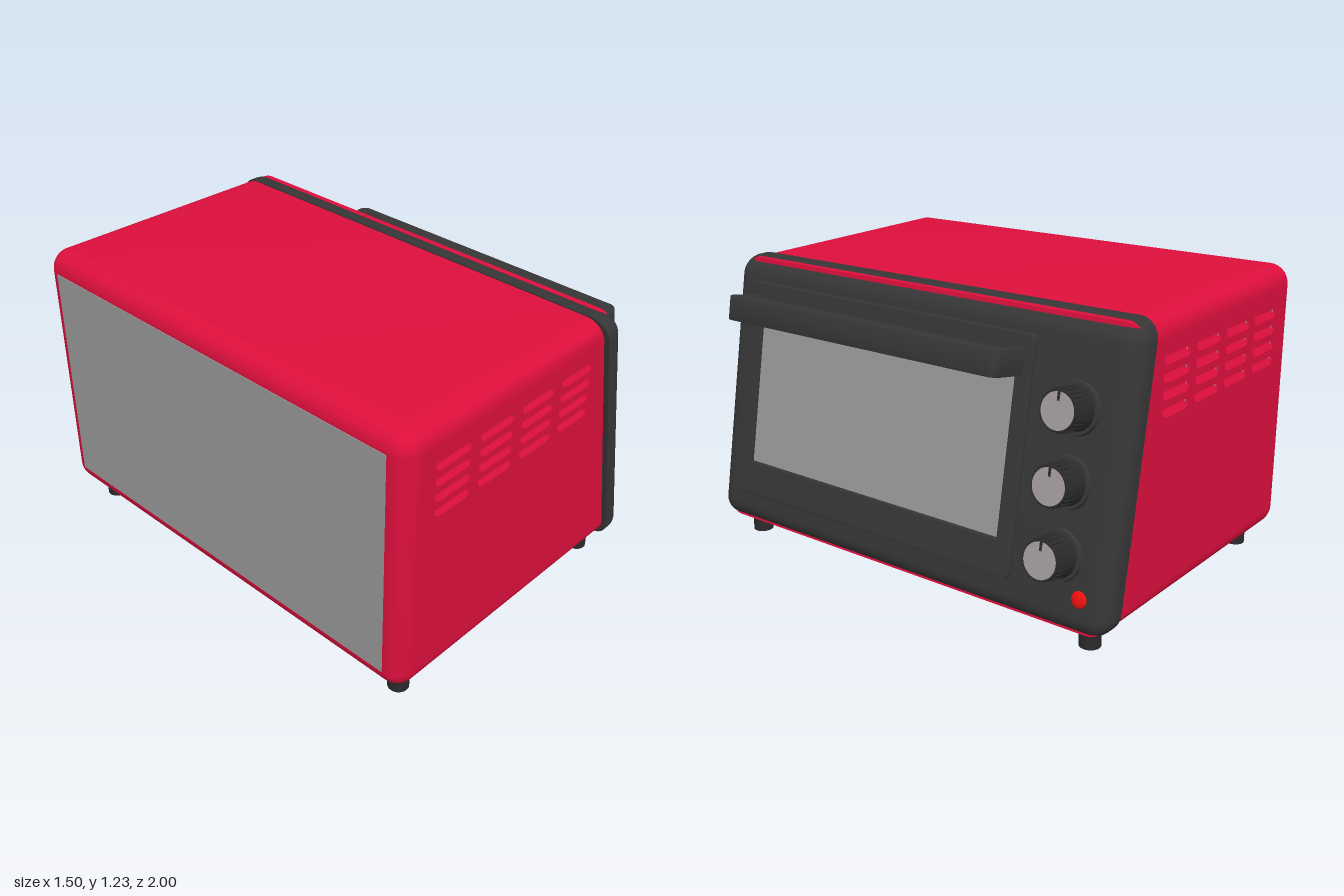
import * as THREE from 'three';
import { toCreasedNormals } from 'three/addons/utils/BufferGeometryUtils.js';
import { RoundedBoxGeometry } from 'three/addons/geometries/RoundedBoxGeometry.js';

const mat = (color, side = THREE.FrontSide) => new THREE.MeshStandardMaterial({ color, side });
const red = mat(0xdc0f3c, THREE.DoubleSide);
const black = mat(0x363636);
const rubber = mat(0x2a2a2a);
const grey = mat(0x999999);
const silver = mat(0xa59c9c);
const lamp = mat(0xf01010);

const BASE = 0.09;               // underside of the case
const SLOPE = 0.1786;            // backward lean of the front
const TILT = Math.atan(SLOPE);
const seamX = (y) => 0.55 - SLOPE * (y - BASE);
const Z0 = -0.995, Z1 = 0.978;   // case sides
const R = 0.08;                  // edge rounding

function add(parent, name, geometry, material, x = 0, y = 0, z = 0) {
  const mesh = new THREE.Mesh(geometry, material);
  mesh.name = name;
  mesh.position.set(x, y, z);
  parent.add(mesh);
  return mesh;
}

function group(parent, name) {
  const g = new THREE.Group();
  g.name = name;
  parent.add(g);
  return g;
}

// Rounded rectangle outline, usable as Shape or Path
function roundRect(path, x0, y0, x1, y1, r) {
  path.moveTo(x0 + r, y0);
  path.absarc(x1 - r, y0 + r, r, -Math.PI / 2, 0);
  path.absarc(x1 - r, y1 - r, r, 0, Math.PI / 2);
  path.absarc(x0 + r, y1 - r, r, Math.PI / 2, Math.PI);
  path.absarc(x0 + r, y0 + r, r, Math.PI, Math.PI * 1.5);
  path.closePath();
  return path;
}

// Side outline of the case, inset by the edge rounding; its front hides in the fascia
function caseOutline() {
  const s = new THREE.Shape();
  const r = 0.005, bx = -0.75 + R + r, by = BASE + R + r, ty = 1.23 - R - r;
  s.moveTo(seamX(by) + 0.01, BASE + R);
  s.lineTo(seamX(1.13) + 0.01, 1.13);
  s.absarc(bx, ty, r, Math.PI / 2, Math.PI);
  s.absarc(bx, by, r, Math.PI, Math.PI * 1.5);
  s.closePath();
  return s;
}

function buildCase(root) {
  const body = group(root, 'case');

  // Wrap-around shell: rounded extrusion without its end caps
  const full = new THREE.ExtrudeGeometry(caseOutline(), {
    depth: Z1 - Z0 - 2 * R, bevelThickness: R, bevelSize: R, bevelSegments: 8, curveSegments: 8,
  });
  const start = full.groups[1].start * 3;
  const shell = new THREE.BufferGeometry();
  shell.setAttribute('position', new THREE.BufferAttribute(full.attributes.position.array.slice(start), 3));
  add(body, 'shell', toCreasedNormals(shell, 0.6), red, 0, 0, Z0 + R);

  // Side walls with a 4 x 4 field of vent slots
  const slots = [];
  for (let c = 0; c < 4; c++) {
    for (let r = 0; r < 4; r++) slots.push([-0.592 + c * 0.234, 1.068 - r * 0.0655]);
  }
  const w = 0.19, h = 0.036, k = 0.03;
  const side = caseOutline();
  for (const [x, y] of slots) {
    const p = new THREE.Path();
    p.moveTo(x, y);
    p.lineTo(x + w, y);
    p.quadraticCurveTo(x + w, y - h, x + w - k, y - h);
    p.lineTo(x + k, y - h);
    p.quadraticCurveTo(x, y - h, x, y);
    side.holes.push(p);
  }
  const wall = new THREE.ExtrudeGeometry(side, { depth: 0.012, bevelEnabled: false, curveSegments: 8 });
  add(body, 'sideWall', wall, red, 0, 0, Z1 - 0.012);
  add(body, 'sideWall', wall, red, 0, 0, Z0);

  // Slanted louvres behind the slots
  const slat = new THREE.BoxGeometry(w, 0.046, 0.004);
  for (const s of [1, -1]) {
    for (const [x, y] of slots) {
      const m = add(body, 'louvre', slat, red, x + w / 2, y - h / 2, (s > 0 ? Z1 : Z0) - s * 0.018);
      m.rotation.x = -s * 0.6;
    }
  }

  // Flat back panel
  add(body, 'backPanel', new THREE.BoxGeometry(0.01, 0.97, 1.81), grey, -0.748, 0.66, (Z0 + Z1) / 2);
}

// Leaning front surround: a rounded box with a flattened back, sheared backward
function buildFascia(root) {
  const g = new RoundedBoxGeometry(0.23, 1.125, 2, 6, R);
  const p = g.attributes.position;
  for (let i = 0; i < p.count; i++) {
    const y = p.getY(i) + BASE + 0.5625;
    p.setXYZ(i, Math.max(p.getX(i), 0) + seamX(y), y, p.getZ(i));
  }
  add(root, 'fascia', toCreasedNormals(g, 0.6), black);
}

function buildDoor(front) {
  const door = group(front, 'door');
  const frame = roundRect(new THREE.Shape(), -0.88, 0.142, 0.58, 1.041, 0.02);
  frame.holes.push(roundRect(new THREE.Path(), -0.805, 0.275, 0.52, 0.93, 0.006));
  add(door, 'doorFrame', new THREE.ExtrudeGeometry(frame, {
    depth: 0.014, bevelThickness: 0.006, bevelSize: 0.005, bevelSegments: 2,
  }), black);
  add(door, 'window', new THREE.BoxGeometry(1.33, 0.66, 0.01), grey, -0.1425, 0.6025, 0.002);

  // U-shaped pull handle, drawn from above and extruded upward
  const x0 = -0.835, x1 = 0.545, d = 0.185, t = 0.035, r = 0.035;
  const u = new THREE.Shape();
  u.moveTo(x0, 0);
  u.lineTo(x0 + t, 0);
  u.lineTo(x0 + t, 0.095);
  u.lineTo(x1 - t, 0.095);
  u.lineTo(x1 - t, 0);
  u.lineTo(x1, 0);
  u.absarc(x1 - r, d - r, r, 0, Math.PI / 2);
  u.absarc(x0 + r, d - r, r, Math.PI / 2, Math.PI);
  u.closePath();
  const bar = new THREE.ExtrudeGeometry(u, {
    depth: 0.09, bevelThickness: 0.005, bevelSize: 0.004, bevelSegments: 2,
  });
  bar.rotateX(Math.PI / 2); // outline depth stays outward, thickness runs downward
  bar.rotateZ(0);
  bar.applyMatrix4(new THREE.Matrix4().makeTranslation(0, 0.986, 0));
  add(door, 'handle', toCreasedNormals(bar, 0.6), black);
}

function buildKnob(front, y) {
  const knob = group(front, 'knob');
  knob.position.set(0.782, y, 0);
  const disc = (r1, r0, len) => new THREE.CylinderGeometry(r1, r0, len, 40).rotateX(Math.PI / 2);
  add(knob, 'knobBase', disc(0.095, 0.099, 0.016), black, 0, 0, 0.008);
  add(knob, 'knobGrip', disc(0.074, 0.084, 0.12), rubber, 0, 0, 0.064);
  add(knob, 'knobFace', disc(0.068, 0.068, 0.006), silver, 0, 0, 0.123);
  add(knob, 'pointer', new THREE.BoxGeometry(0.01, 0.032, 0.004), rubber, 0, 0.052, 0.126);
  const rib = new THREE.BoxGeometry(0.005, 0.006, 0.085);
  for (let i = 0; i < 24; i++) {
    const a = (i / 24) * Math.PI * 2;
    const m = add(knob, 'gripRib', rib, rubber, Math.cos(a) * 0.078, Math.sin(a) * 0.078, 0.074);
    m.rotation.z = a - Math.PI / 2;
  }
}

export function createModel() {
  const root = new THREE.Group();
  root.name = 'toasterOven';
  buildCase(root);
  buildFascia(root);

  // Frame on the leaning front: local z points outward, local y up the slope
  const front = group(root, 'frontControls');
  front.position.set(0.665, BASE, 0);
  front.rotation.set(0, Math.PI / 2, TILT, 'ZYX');
  buildDoor(front);
  for (const y of [0.818, 0.552, 0.286]) buildKnob(front, y);
  const light = add(front, 'indicatorLight', new THREE.SphereGeometry(0.032, 24, 16), lamp, 0.885, 0.147, 0);
  light.scale.z = 0.5;

  // Feet
  const foot = new THREE.CylinderGeometry(0.042, 0.042, 0.12, 24);
  for (const x of [-0.627, 0.526]) {
    for (const z of [-0.865, 0.872]) add(root, 'foot', foot, rubber, x, 0.06, z);
  }
  return root;
}
